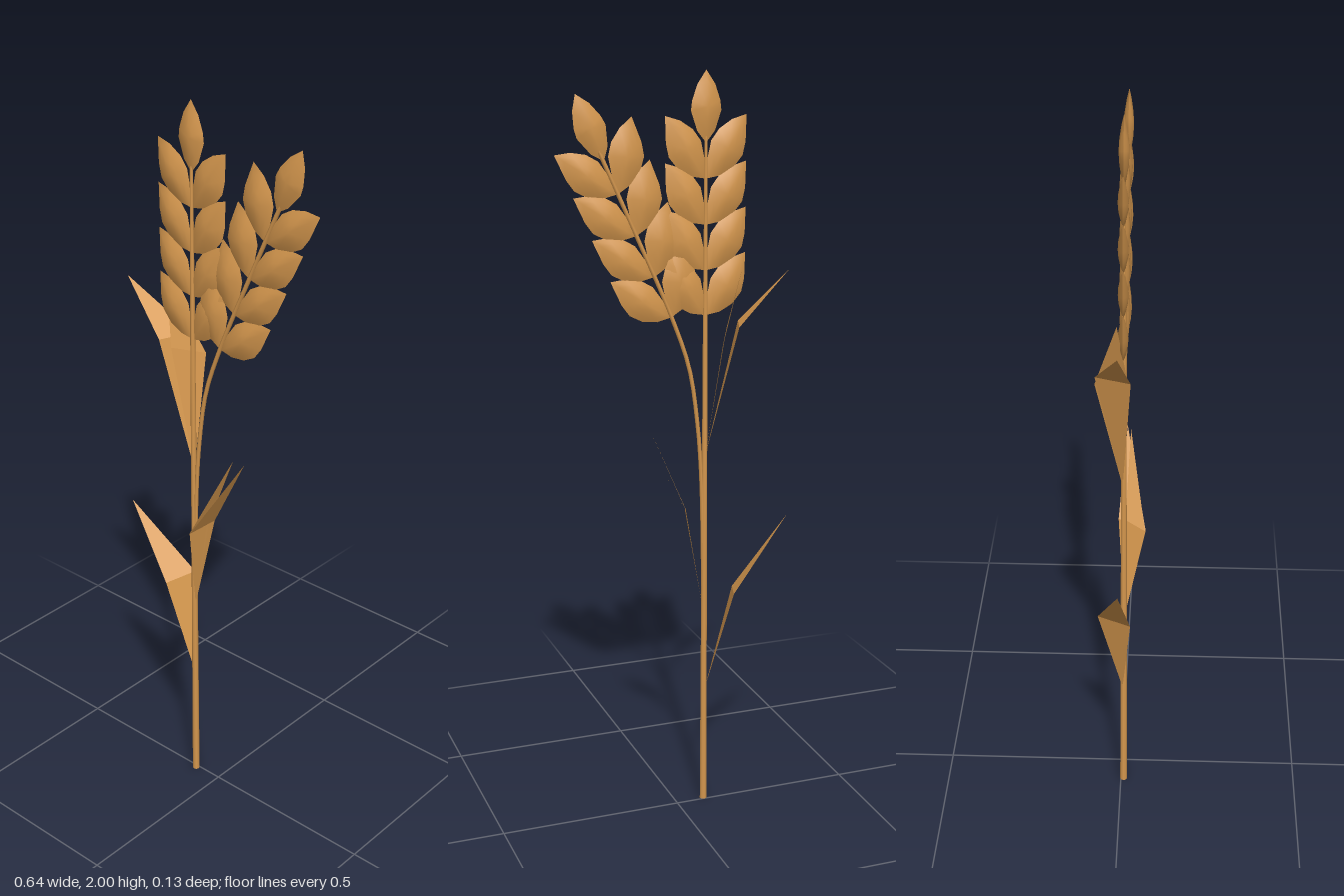
import * as THREE from 'three';

const straw = new THREE.MeshStandardMaterial({ color: 0xd6984e, side: THREE.DoubleSide });
straw.name = 'straw';
const DEPTH = 0.008; // z of the plane the ears lie in

// Counter-clockwise grain outlines, measured from the foot of the grain
const sideOutline = [[0.004, 0], [0.04, 0.006], [0.075, 0.025], [0.1, 0.055], [0.108, 0.09],
  [0.11, 0.158], [0.07, 0.146], [0.036, 0.124], [0.014, 0.095], [0.004, 0.05]];
const topOutline = [[0, 0], [0.024, 0.03], [0.041, 0.08], [0.038, 0.105], [0.024, 0.145],
  [0, 0.18], [-0.024, 0.145], [-0.038, 0.105], [-0.041, 0.08], [-0.024, 0.03]];
const mirrored = (outline) => outline.map(([x, y]) => [-x, y]).reverse();

// Grain: a sharp rim with a smooth dome on the front and back
function grainGeometry(outline) {
  const n = outline.length;
  const cx = outline.reduce((s, p) => s + p[0], 0) / n;
  const cy = outline.reduce((s, p) => s + p[1], 0) / n;
  const rings = [[1, 0], [0.72, 0.006], [0.36, 0.011]];
  const positions = [], indices = [];
  for (const side of [1, -1]) {
    const start = positions.length / 3;
    const tri = (a, b, c) => indices.push(...(side > 0 ? [a, b, c] : [a, c, b]));
    for (const [s, z] of rings)
      for (const [x, y] of outline) positions.push(cx + (x - cx) * s, cy + (y - cy) * s, side * z);
    positions.push(cx, cy, side * 0.013);
    const apex = start + rings.length * n;
    for (let i = 0; i < n; i++) {
      const j = (i + 1) % n;
      for (let r = 0; r < rings.length - 1; r++) {
        const a = start + r * n, b = a + n;
        tri(a + i, a + j, b + j);
        tri(a + i, b + j, b + i);
      }
      const last = apex - n;
      tri(last + i, last + j, apex);
    }
  }
  const g = new THREE.BufferGeometry();
  g.setAttribute('position', new THREE.Float32BufferAttribute(positions, 3));
  g.setIndex(indices);
  g.computeVertexNormals();
  return g;
}

// Blade: two flat facets, foot to bend and bend to tip
function bladeGeometry(foot, edgeA, edgeB, tip) {
  const g = new THREE.BufferGeometry();
  g.setAttribute('position', new THREE.Float32BufferAttribute(
    [foot, edgeA, edgeB, edgeA, tip, edgeB].flat(), 3));
  g.computeVertexNormals();
  return g;
}

function addMesh(parent, geometry, name) {
  const mesh = new THREE.Mesh(geometry, straw);
  mesh.name = name;
  parent.add(mesh);
  return mesh;
}

export function createModel() {
  const model = new THREE.Group();
  model.name = 'wheat';

  // Main stalk, thinner inside the ear
  const stalk = addMesh(model, new THREE.CylinderGeometry(0.0065, 0.01, 1.38, 8), 'mainStalk');
  stalk.position.set(-0.08, 0.69, DEPTH);
  const core = addMesh(model, new THREE.CylinderGeometry(0.004, 0.0065, 0.46, 8), 'mainEarStem');
  core.position.set(-0.08, 1.61, DEPTH);

  // Side stalk curving away from the main one
  const path = new THREE.CatmullRomCurve3([
    [-0.078, 0.6], [-0.07, 0.95], [-0.058, 1.1], [-0.036, 1.24], [0.013, 1.38], [0.11, 1.6], [0.205, 1.81],
  ].map(([x, y]) => new THREE.Vector3(x, y, DEPTH)));
  addMesh(model, new THREE.TubeGeometry(path, 28, 0.0055, 6), 'sideStalk');

  // Ears: four pairs of grains and one at the tip
  const right = grainGeometry(sideOutline);
  const left = grainGeometry(mirrored(sideOutline));
  const top = grainGeometry(topOutline);
  const ears = [['mainEar', -0.08, 0, 0], ['sideEar', 0.013, -0.415, 0.001]];
  for (const [name, x, tilt, dz] of ears) {
    const ear = new THREE.Group();
    ear.name = name;
    ear.position.set(x, 1.38, DEPTH + dz);
    ear.rotation.z = tilt;
    for (let row = 0; row < 4; row++) {
      const y = row * 0.117;
      addMesh(ear, right, 'rightGrain').position.y = y;
      addMesh(ear, left, 'leftGrain').position.y = y;
    }
    addMesh(ear, top, 'tipGrain').position.y = 0.44;
    model.add(ear);
  }

  // Folded leaves along the stalk: foot, two bend corners, tip
  const leaves = [
    ['lowerLeaf', [-0.084, 0.34, 0.005], [-0.17, 0.615, 0.028], [-0.14, 0.625, -0.06], [-0.32, 0.815, 0]],
    ['upperLeaf', [-0.08, 1.0, 0.005], [-0.18, 1.355, 0.028], [-0.147, 1.355, -0.062], [-0.315, 1.49, 0]],
    ['upperInnerLeaf', [-0.08, 1.0, 0.005], [-0.145, 1.34, 0.02], [-0.1, 1.31, -0.065], [-0.18, 1.51, -0.006]],
    ['middleLeaf', [-0.075, 0.58, 0.01], [-0.045, 0.84, 0.065], [-0.02, 0.86, -0.008], [0.1, 1.08, 0.012]],
    ['middleInnerLeaf', [-0.075, 0.58, 0.01], [-0.047, 0.84, 0.063], [-0.025, 0.86, 0.01], [0.07, 1.085, 0.022]],
  ];
  for (const [name, ...corners] of leaves) addMesh(model, bladeGeometry(...corners), name);

  return model;
}
